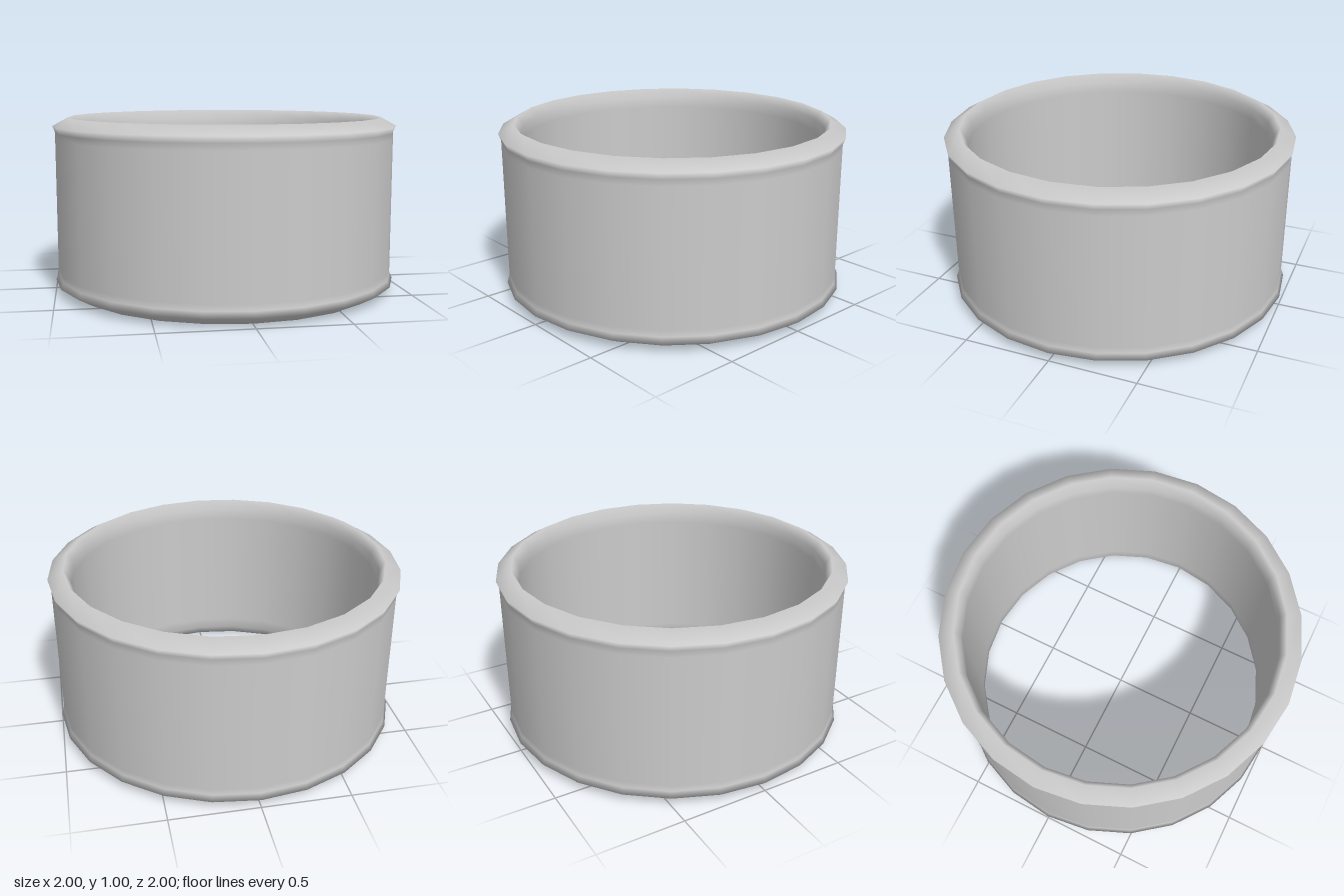
import * as THREE from 'three';

export function createModel() {
  const group = new THREE.Group();
  group.name = 'ring';

  // Upper half of the band's cross-section, from outer wall over the rim to the inner wall
  const upper = [
    [0.985, 0.88], [0.985, 0.915], [1, 0.95], // outer wall and flared lip
    [0.91, 1],                                // rim crest
    [0.88, 0.945], [0.88, 0.88], [0.88, 0.5], // inner bevel and wall
  ];
  // Mirror it about mid-height to close the loop, starting on the inner wall
  const lower = upper.map(([r, y]) => [r, 1 - y]).reverse();
  const profile = [...lower, ...upper].map(([r, y]) => new THREE.Vector2(r, y));

  const band = new THREE.Mesh(
    new THREE.LatheGeometry(profile, 24),
    new THREE.MeshStandardMaterial({ color: 0xcccccc })
  );
  band.name = 'band';
  group.add(band);
  return group;
}
